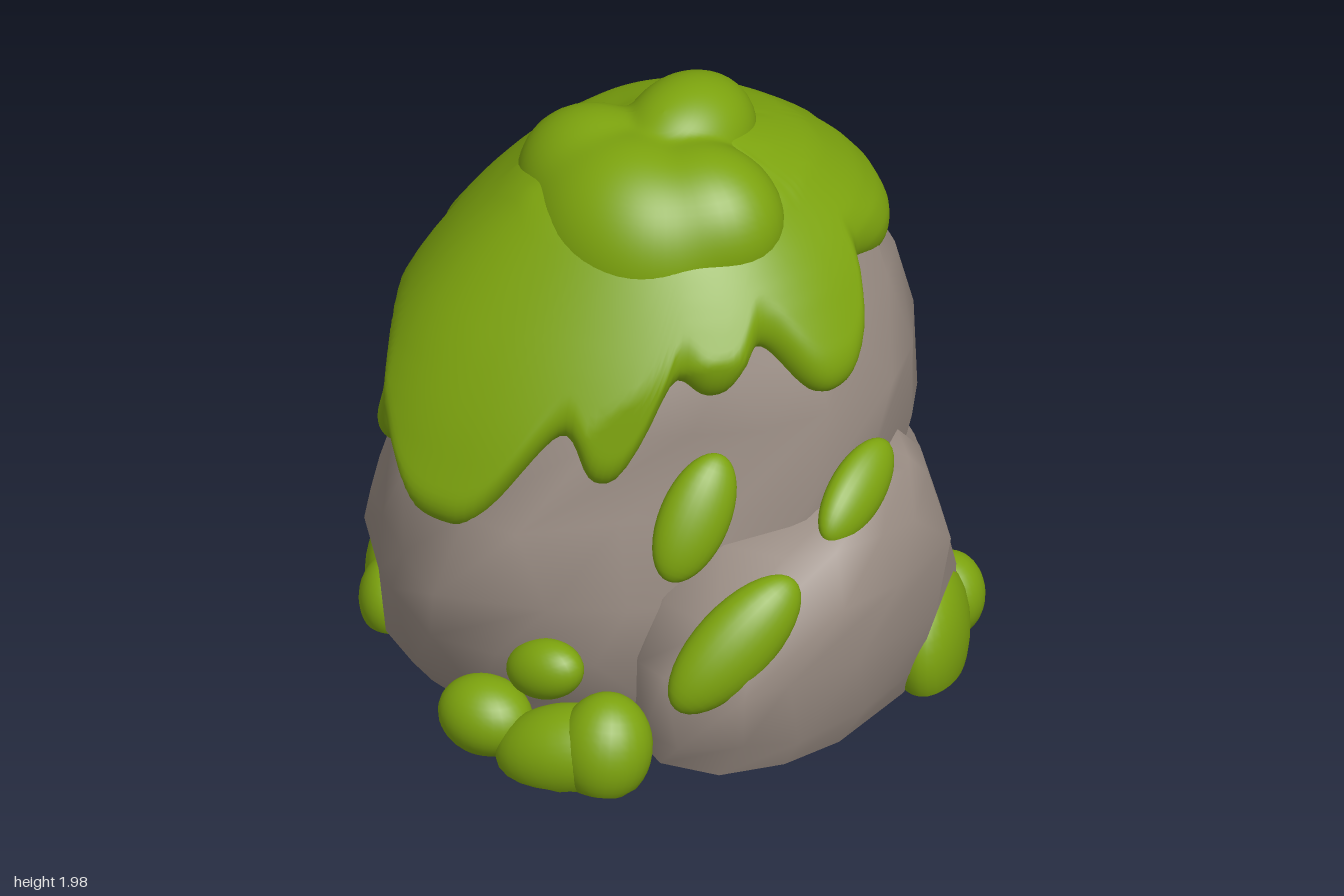
import * as THREE from 'three';
import { mergeGeometries } from 'three/addons/utils/BufferGeometryUtils.js';

const { lerp, clamp, degToRad, smoothstep } = THREE.MathUtils;

// Cross-sections: [y, xMin, xMax, zMin, zMax]
const MAIN = [
  [0, -0.77, 0.56, -0.86, 0.66], [0.1, -0.83, 0.6, -0.91, 0.72], [0.35, -0.91, 0.63, -0.96, 0.85],
  [0.55, -0.89, 0.66, -0.94, 0.9], [0.8, -0.86, 0.73, -0.91, 0.83], [1.1, -0.81, 0.73, -0.86, 0.71],
  [1.3, -0.73, 0.64, -0.82, 0.6], [1.5, -0.59, 0.53, -0.74, 0.46], [1.65, -0.42, 0.39, -0.57, 0.34],
  [1.75, -0.31, 0.29, -0.4, 0.24], [1.82, -0.02, 0.02, -0.1, -0.06],
];
const BOULDER = [
  [0, 0.1, 0.83, -0.64, 0.62], [0.12, 0.1, 0.88, -0.75, 0.67], [0.35, 0.1, 0.94, -0.84, 0.69],
  [0.55, 0.1, 0.94, -0.78, 0.58], [0.7, 0.12, 0.88, -0.58, 0.38], [0.8, 0.18, 0.8, -0.38, 0.1],
  [0.85, 0.45, 0.5, -0.18, -0.13],
];
// Flat faces worn into the stones: [normal x, normal z, distance at the foot, distance higher up]
const MAIN_CUTS = [
  [0.707, 0.707, 0.72, 0.545], [-0.6, 0.8, 0.885, 0.87], [-0.707, -0.707, 0.95, 0.93],
  [-0.91, 0.41, 0.97, 0.76],
];
const BOULDER_CUTS = [[0.707, -0.707, 0.91, 0.72]];
// Hanging moss edge: [angle from front towards +x, height], drips and gaps in turn
const EDGE = [
  [0, 0.77], [19, 1.12], [31, 0.95], [42, 1.3], [51, 1.23], [63, 1.38], [84, 1.18], [102, 1.45],
  [131, 1.37], [145, 1.39], [162, 1.5], [188, 1.37], [202, 1.48], [218, 1.39], [233, 1.38],
  [257, 1.45], [274, 1.18], [291, 1.32], [311, 0.78], [333, 0.98], [360, 0.77],
];

function random(seed) {
  return () => {
    seed = (seed * 16807) % 2147483647;
    return seed / 2147483647;
  };
}

function section(rings, y) {
  let i = 0;
  while (i < rings.length - 2 && y > rings[i + 1][0]) i++;
  const [a, b] = [rings[i], rings[i + 1]];
  const t = clamp((y - a[0]) / (b[0] - a[0]), 0, 1);
  return a.map((v, k) => lerp(v, b[k], t));
}

// Rounded outline point; lean pulls the front ridge towards -x
function outline([y, x0, x1, z0, z1], angle, lean, cuts, scale = 1) {
  const round = (v) => Math.sign(v) * Math.abs(v) ** 0.9;
  const s = round(Math.sin(angle)), c = round(Math.cos(angle));
  const shift = lean * Math.max(0, c) ** 3 * (x1 - x0);
  const p = new THREE.Vector3((x0 + x1) / 2 + ((x1 - x0) / 2) * s * scale - shift, y,
    (z0 + z1) / 2 + ((z1 - z0) / 2) * c * scale);
  for (const [nx, nz, low, high] of cuts) {
    const over = p.x * nx + p.z * nz - lerp(low, high, smoothstep(y, 0.2, 1.1));
    if (over > 0) {
      p.x -= nx * over * 0.95;
      p.z -= nz * over * 0.95;
    }
  }
  return p;
}

// Closed surface from rows of points, running from the bottom up
function loft(rows) {
  const n = rows[0].length, index = [];
  for (let r = 0; r < rows.length - 1; r++) {
    for (let i = 0; i < n; i++) {
      const j = (i + 1) % n, a = r * n, b = a + n;
      index.push(a + i, a + j, b + j, a + i, b + j, b + i);
    }
  }
  const g = new THREE.BufferGeometry().setFromPoints(rows.flat());
  g.setIndex(index);
  g.computeVertexNormals();
  return g;
}

// Worn, softly faceted stone with a flat underside
function stone(rings, columns, lean, cuts, seed) {
  const rnd = random(seed);
  const rows = rings.map((ring, r) => Array.from({ length: columns }, (_, i) => {
    const a = ((i + (r % 2) * 0.25 + (rnd() - 0.5) * 0.45) / columns) * Math.PI * 2;
    const p = outline(ring, a, lean, cuts, 0.985 + rnd() * 0.035);
    if (r > 0 && r < rings.length - 1) p.y += (rnd() - 0.5) * 0.05;
    return p;
  }));
  const [, x0, x1, z0, z1] = rings[0];
  const middle = new THREE.Vector3((x0 + x1) / 2, 0, (z0 + z1) / 2);
  const base = loft([rows[0].map(() => middle.clone()), rows[0]]);
  return mergeGeometries([loft(rows), base]);
}

// Full round drips with narrower gaps between them
function edgeHeight(deg) {
  let i = 0;
  while (i < EDGE.length - 2 && deg > EDGE[i + 1][0]) i++;
  const [a, b] = [EDGE[i], EDGE[i + 1]];
  const t = clamp((deg - a[0]) / (b[0] - a[0]), 0, 1);
  const [tip, gap, s] = a[1] < b[1] ? [a[1], b[1], t] : [b[1], a[1], 1 - t];
  return lerp(tip, gap, (1 - Math.cos(Math.PI * s ** 1.25)) / 2);
}

// Moss sheet that follows the main stone and ends in rounded drips
function mossCap() {
  const columns = 240, count = 30, top = 1.82, rows = [];
  for (let r = 0; r <= count; r++) {
    const u = (r / count) ** 1.7, row = [];
    for (let i = 0; i < columns; i++) {
      const deg = (i / columns) * 360, angle = degToRad(deg);
      const edge = edgeHeight(deg);
      const y = lerp(edge, top, u);
      const near = [-0.06, 0, 0.06].map((d) => section(MAIN, y + d));
      const ring = near[0].map((_, k) => (near[0][k] + near[1][k] + near[2][k]) / 3);
      ring[0] = y;
      const p = outline(ring, angle, 0.12, MAIN_CUTS);
      const d = Math.min(1, (y - edge) / 0.12);
      const thick = -0.03 + 0.105 * Math.sqrt(1 - (1 - d) ** 2);
      const up = lerp(0.2, 1.2, smoothstep(y, 0.9, 1.8));
      const normal = new THREE.Vector3(Math.sin(angle), up, Math.cos(angle)).normalize();
      row.push(p.addScaledVector(normal, thick));
    }
    rows.push(row);
  }
  return loft(rows);
}

// Lump of moss: ellipsoids [centre, radii] melted together around a shared core
function meltedLump(core, parts) {
  const g = new THREE.SphereGeometry(1, 72, 48);
  const p = g.attributes.position, dir = new THREE.Vector3();
  for (let i = 0; i < p.count; i++) {
    dir.fromBufferAttribute(p, i).normalize();
    let sum = 0;
    for (const [centre, radii] of parts) {
      const size = new THREE.Vector3(...radii);
      const o = new THREE.Vector3(...core).sub(new THREE.Vector3(...centre)).divide(size);
      const d = dir.clone().divide(size);
      const a = d.dot(d), b = o.dot(d), c = o.dot(o) - 1;
      sum += Math.max(0, (-b + Math.sqrt(Math.max(0, b * b - a * c))) / a) ** 14;
    }
    const reach = sum ** (1 / 14);
    p.setXYZ(i, core[0] + dir.x * reach, core[1] + dir.y * reach, core[2] + dir.z * reach);
  }
  g.computeVertexNormals();
  return g;
}

// Cushion of moss: centre, half sizes (across, up, out), facing, lean back, roll in degrees
function cushion([x, y, z], [w, h, d], facing = 0, lean = 0, roll = 0) {
  const g = new THREE.SphereGeometry(1, 28, 18);
  const turn = new THREE.Euler(degToRad(-lean), degToRad(facing), degToRad(roll), 'YXZ');
  g.applyMatrix4(new THREE.Matrix4().compose(new THREE.Vector3(x, y, z),
    new THREE.Quaternion().setFromEuler(turn), new THREE.Vector3(w, h, d)));
  const p = g.attributes.position;
  for (let i = 0; i < p.count; i++) p.setY(i, Math.max(0, p.getY(i)));
  return g;
}

export function createModel() {
  const model = new THREE.Group();
  const stoneGrey = new THREE.MeshStandardMaterial({ color: 0x988b82 });
  stoneGrey.name = 'stoneGrey';
  const mossGreen = new THREE.MeshStandardMaterial({ color: 0x7da40e });
  mossGreen.name = 'mossGreen';
  const add = (name, geometry, material) => {
    const mesh = new THREE.Mesh(geometry, material);
    mesh.name = name;
    model.add(mesh);
  };

  add('mainStone', stone(MAIN, 19, 0.12, MAIN_CUTS, 41), stoneGrey);
  add('sideBoulder', stone(BOULDER, 15, 0, BOULDER_CUTS, 97), stoneGrey);
  add('mossCap', mossCap(), mossGreen);
  add('mossCrown', meltedLump([0, 1.67, -0.02], [
    [[0, 1.58, 0.14], [0.36, 0.33, 0.3]],
    [[-0.2, 1.66, 0.05], [0.27, 0.25, 0.23]],
    [[0.2, 1.66, 0.05], [0.27, 0.25, 0.23]],
    [[0, 1.79, -0.16], [0.2, 0.195, 0.25]],
  ]), mossGreen);

  const moss = {
    // Patches on the stone faces
    upperPatch: [[[0.44, 0.84, 0.46], [0.115, 0.22, 0.08], 47, 18, -27]],
    lowerPatch: [[[0.65, 0.485, 0.545], [0.13, 0.28, 0.1], 45, 14, -46]],
    sidePatch: [[[0.76, 0.82, 0.02], [0.1, 0.2, 0.07], 80, 20, -60]],
    // Clumps around the foot
    frontClump: [
      [[0.2, 0.08, 0.83], [0.24, 0.15, 0.15], 8, 15, 18],
      [[0.33, 0.12, 0.8], [0.15, 0.18, 0.15], 12, 15],
      [[-0.1, 0.11, 0.84], [0.16, 0.13, 0.13]],
      [[0.08, 0.31, 0.77], [0.14, 0.1, 0.09], 0, 0, 20],
    ],
    leftClump: [
      [[-0.83, 0.13, 0.17], [0.22, 0.24, 0.12], -84, 8],
      [[-0.76, 0.08, 0.38], [0.14, 0.14, 0.11], -65],
    ],
    backLeftClump: [
      [[-0.83, 0.1, -0.38], [0.19, 0.15, 0.1], -113],
      [[-0.7, 0.09, -0.6], [0.17, 0.14, 0.1], -132],
    ],
    backClump: [
      [[0.15, 0.1, -0.89], [0.18, 0.17, 0.1], 175],
      [[0.36, 0.07, -0.86], [0.16, 0.14, 0.1], 158],
    ],
    rightClump: [
      [[0.81, 0.12, -0.33], [0.23, 0.24, 0.12], 114, 0, 8],
      [[0.73, 0.12, -0.56], [0.13, 0.14, 0.11], 128],
    ],
  };
  for (const [name, parts] of Object.entries(moss)) {
    add(name, mergeGeometries(parts.map((part) => cushion(...part))), mossGreen);
  }
  return model;
}
